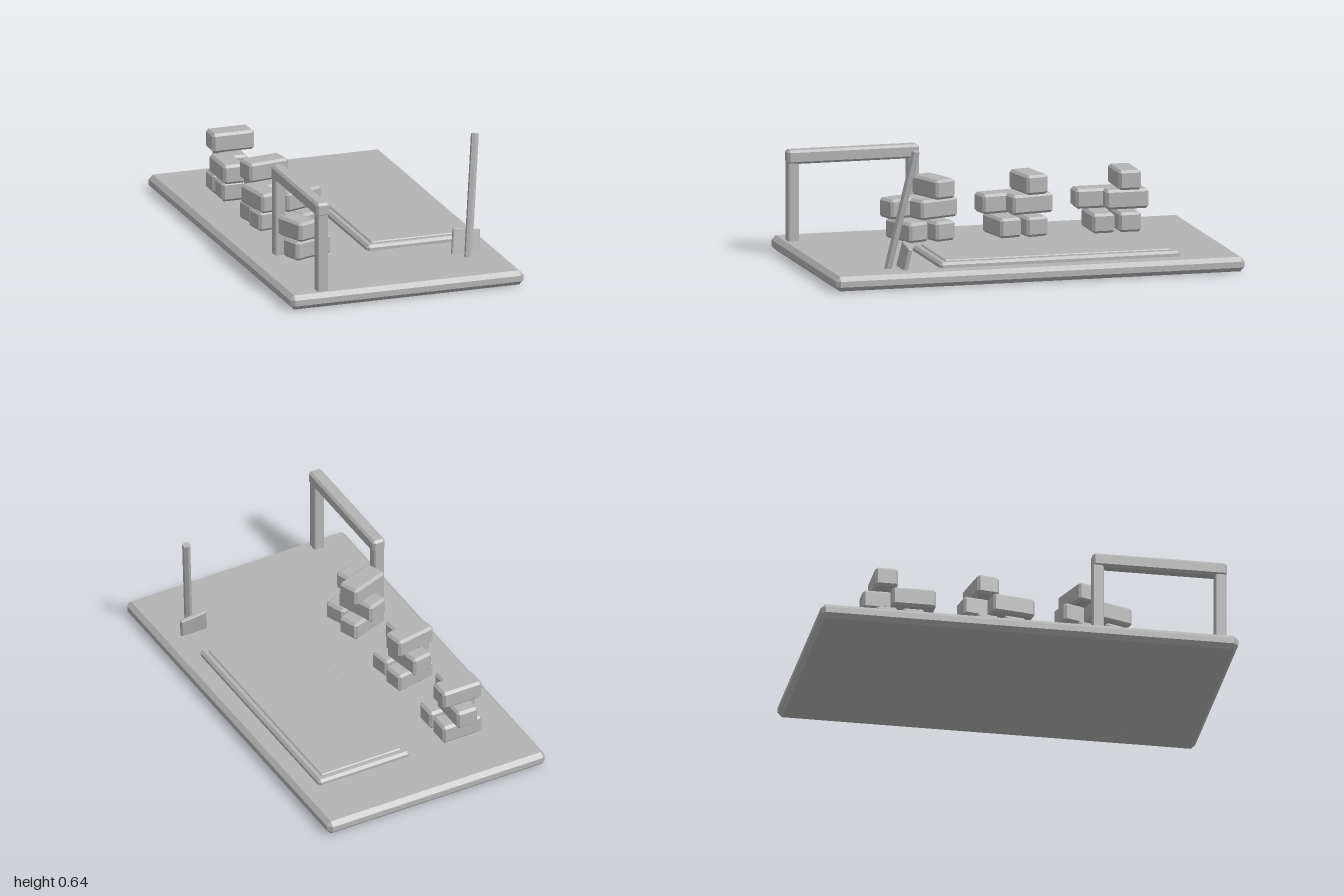
import * as THREE from 'three';
import { ConvexGeometry } from 'three/addons/geometries/ConvexGeometry.js';

// Box with a single flat chamfer of width b on every edge
function chamferBox(w, h, d, b) {
  const pts = [];
  for (const sx of [-1, 1]) for (const sy of [-1, 1]) for (const sz of [-1, 1]) {
    const x = w / 2, y = h / 2, z = d / 2;
    pts.push(
      new THREE.Vector3(sx * x, sy * (y - b), sz * (z - b)),
      new THREE.Vector3(sx * (x - b), sy * y, sz * (z - b)),
      new THREE.Vector3(sx * (x - b), sy * (y - b), sz * z));
  }
  return new ConvexGeometry(pts);
}

export function createModel() {
  const grey = new THREE.MeshStandardMaterial({ color: 0xb4b4b4, flatShading: true });
  grey.name = 'plain grey';
  const model = new THREE.Group();
  model.name = 'model';

  const add = (parent, name, geometry, x, y, z, ry = 0) => {
    const mesh = new THREE.Mesh(geometry, grey);
    mesh.name = name;
    mesh.position.set(x, y, z);
    mesh.rotation.y = ry;
    parent.add(mesh);
    return mesh;
  };

  // Bevelled ground slab
  add(model, 'base', chamferBox(1.17, 0.07, 2, 0.021), 0, 0.04, 0);

  // Low two-step pad
  add(model, 'padLower', chamferBox(0.49, 0.05, 1.175, 0.012), 0.235, 0.076, -0.123);
  add(model, 'padUpper', chamferBox(0.43, 0.03, 1.11, 0.005), 0.235, 0.094, -0.123);

  // Gate: two posts and a crossbeam
  const gate = new THREE.Group();
  gate.name = 'gate';
  model.add(gate);
  for (const [name, z] of [['frontPost', 0.94], ['backPost', 0.353]]) {
    add(gate, name, chamferBox(0.053, 0.41, 0.053, 0.006), -0.414, 0.265, z);
  }
  add(gate, 'crossbeam', chamferBox(0.066, 0.066, 0.643, 0.011), -0.413, 0.477, 0.648);

  // Three stacks of blocks, each turned a little more than the last
  const block = chamferBox(0.21, 0.094, 0.11, 0.012);
  const turned = Math.PI / 2;
  const layout = [ // x, y, z from the stack, extra turn
    [0, 0.122, 0.13, 0], [0, 0.122, 0, 0],
    [-0.06, 0.223, 0.13, turned], [0, 0.223, 0, turned],
    [0, 0.323, 0, 0],
  ];
  [-0.653, -0.183, 0.283].forEach((z, i) => {
    const stack = new THREE.Group();
    stack.name = 'blockStack' + (i + 1);
    stack.position.set(-0.295, 0, z);
    model.add(stack);
    layout.forEach(([bx, by, bz, turn], j) =>
      add(stack, 'block' + (j + 1), block, bx, by, bz, i * 0.175 + turn));
  });

  // Leaning tool: six-sided handle and flat blade sharing one tilt
  const tool = new THREE.Group();
  tool.name = 'tool';
  model.add(tool);
  const handle = add(tool, 'handle', new THREE.CylinderGeometry(0.019, 0.019, 0.62, 6), 0.444, 0.341, 0.647);
  const blade = add(tool, 'blade', chamferBox(0.135, 0.18, 0.02, 0.004), 0.42, 0.098, 0.63);
  for (const part of [handle, blade]) part.rotation.set(-0.2, 0, -0.13);

  return model;
}
